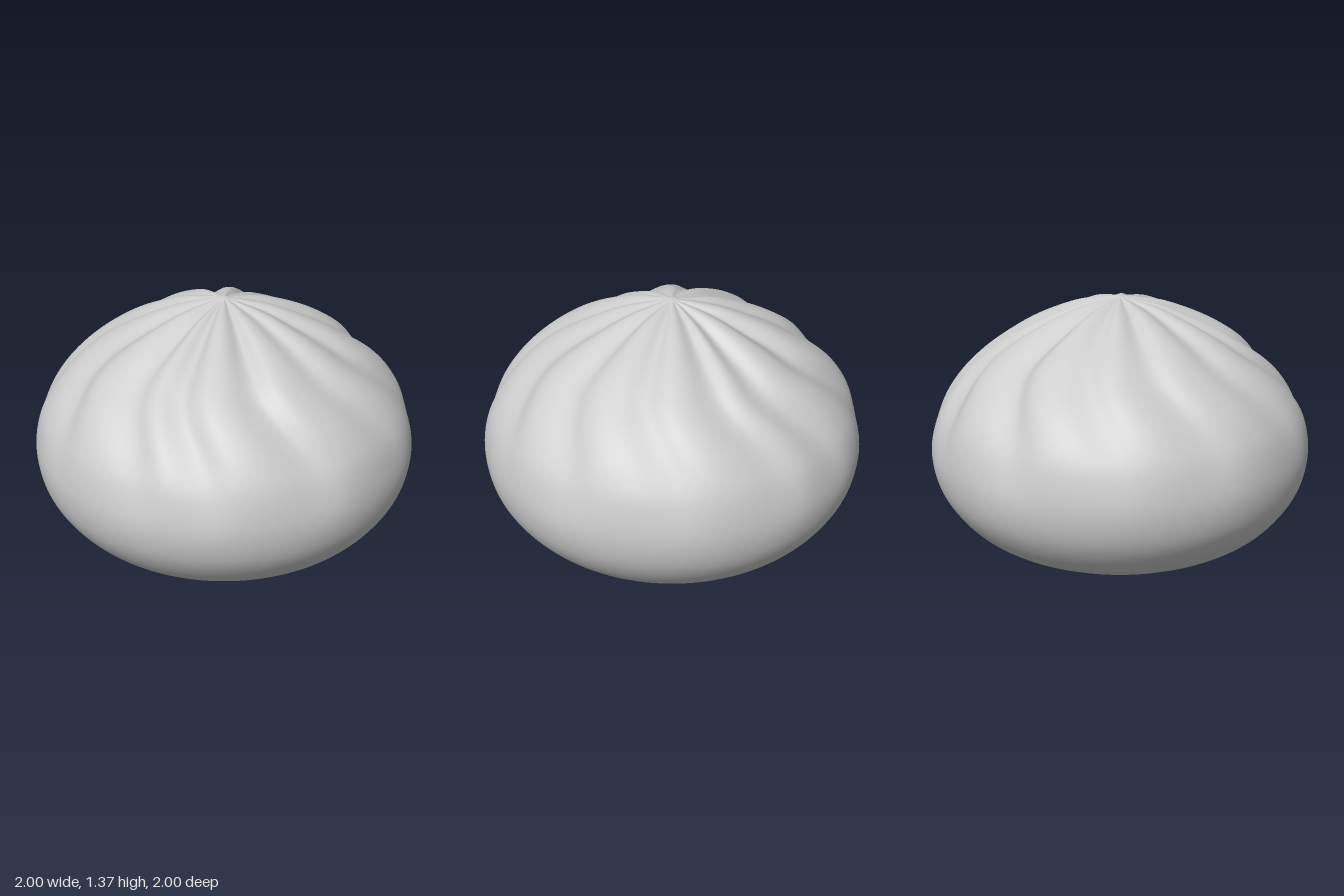
import * as THREE from 'three';
import { mergeVertices } from 'three/addons/utils/BufferGeometryUtils.js';

const { smoothstep, degToRad } = THREE.MathUtils;

// Half turn of pleat grooves: angle near the top (degrees) and relative depth
const GROOVES = [[15, 0.9], [36, 1], [69, 1], [101, 0.6], [130, 0.7], [163, 0.65]];

// Groove strength (0 to 1) at an angle, swirling as the radius grows
function pleat(angle, r) {
  const a = angle - 15 * smoothstep(r, 0.6, 1.04);
  let sum = 0;
  for (const [centre, depth] of GROOVES) {
    let d = (((a - centre) % 180) + 180) % 180;
    if (d > 90) d -= 180;
    // steeper on one side, soft on the other, like a folded wrapper
    const width = d > 0 ? 7 : 10;
    sum += depth * Math.exp(-((d / width) ** 2));
  }
  return Math.min(sum, 1);
}

function bunGeometry() {
  const outline = new THREE.SplineCurve([
    [0, 0], [0.2, 0.003], [0.4, 0.022], [0.62, 0.08], [0.82, 0.192], [0.955, 0.365],
    [1, 0.55], [0.975, 0.74], [0.905, 0.88], [0.79, 1.01], [0.64, 1.125], [0.47, 1.222],
    [0.26, 1.308], [0.1, 1.343], [0.04, 1.352], [0, 1.365],
  ].map(([x, y]) => new THREE.Vector2(x, y)));
  const points = outline.getSpacedPoints(110);
  points[0].x = points[110].x = 0;
  let geometry = new THREE.LatheGeometry(points, 360);
  geometry.deleteAttribute('uv');
  geometry.deleteAttribute('normal');
  geometry = mergeVertices(geometry, 1e-5);

  // Press the pleats into the upper half, fading out at the waist and at the tip
  const pos = geometry.attributes.position;
  const p = new THREE.Vector3();
  const n = new THREE.Vector3();
  for (let i = 0; i < pos.count; i++) {
    p.fromBufferAttribute(pos, i);
    const r = Math.hypot(p.x, p.z);
    const fade = smoothstep(p.y, 0.5, 1.0) * smoothstep(r, -0.08, 0.45) * smoothstep(r, 0, 0.06);
    if (fade === 0) continue;
    const angle = Math.atan2(-p.z, p.x) / degToRad(1);
    n.set(p.x, (p.y - 0.55) / 0.65, p.z).normalize();
    p.addScaledVector(n, -0.047 * fade * pleat(angle, r));
    pos.setXYZ(i, p.x, p.y, p.z);
  }
  geometry.computeVertexNormals();
  return geometry;
}

export function createModel() {
  const dough = new THREE.MeshStandardMaterial({ color: 0xcccccc });
  dough.name = 'dough';

  const group = new THREE.Group();
  group.name = 'steamedBun';
  const bun = new THREE.Mesh(bunGeometry(), dough);
  bun.name = 'pleatedBun';
  group.add(bun);
  return group;
}
